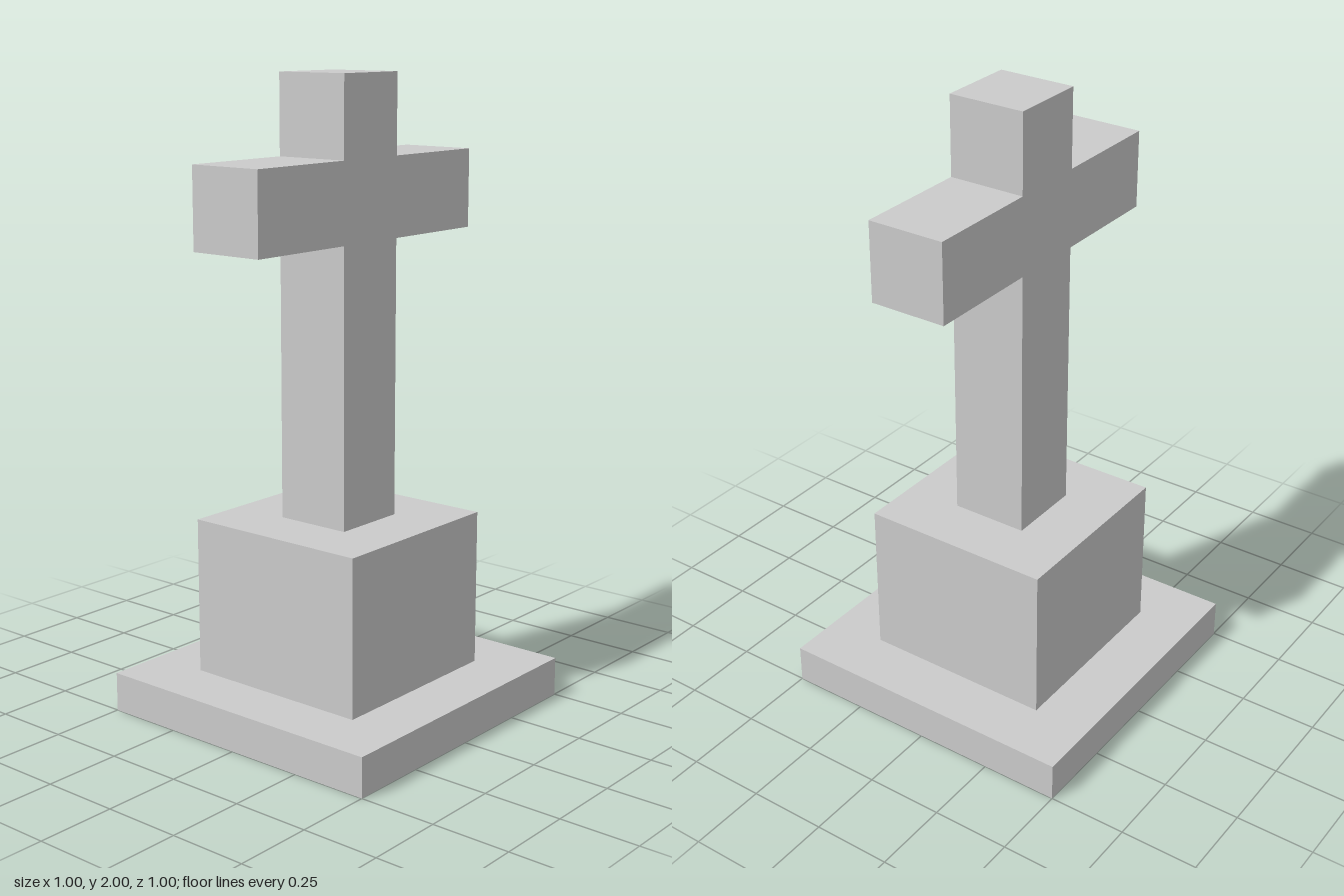
import * as THREE from 'three';

const material = new THREE.MeshStandardMaterial({ color: 0xcccccc, flatShading: true });

function addMesh(group, name, geometry) {
  const mesh = new THREE.Mesh(geometry, material);
  mesh.name = name;
  group.add(mesh);
  return mesh;
}

// Square block standing on height y
function addBlock(group, name, width, height, y) {
  addMesh(group, name, new THREE.BoxGeometry(width, height, width)).position.y = y + height / 2;
}

export function createModel() {
  const group = new THREE.Group();
  group.name = 'monument';

  // Stepped base
  addBlock(group, 'baseSlab', 1, 0.125, 0);
  addBlock(group, 'pedestal', 0.625, 0.5, 0.125);

  // Cross: half outline from foot to top, mirrored, with the arms turned along z
  const half = [[0.125, 0.625], [0.125, 1.5], [0.5, 1.5], [0.5, 1.75], [0.125, 1.75], [0.125, 2]];
  const outline = [...half, ...half.map(([x, y]) => [-x, y]).reverse()];
  const shape = new THREE.Shape(outline.map(([x, y]) => new THREE.Vector2(x, y)));
  const geometry = new THREE.ExtrudeGeometry(shape, { depth: 0.25, bevelEnabled: false });
  geometry.translate(0, 0, -0.125).rotateY(Math.PI / 2);
  addMesh(group, 'cross', geometry);

  return group;
}
